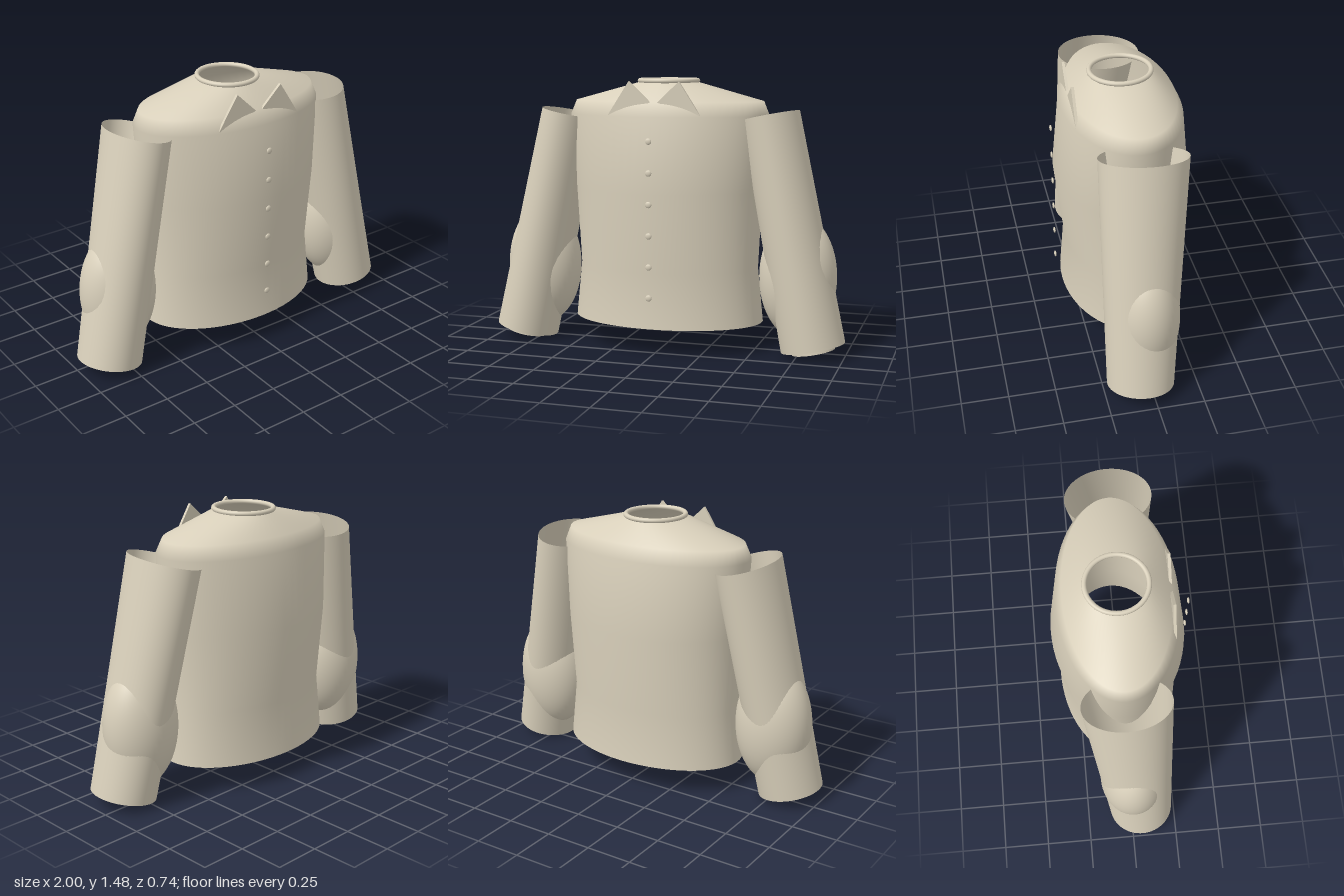
import * as THREE from 'three';

const cloth = new THREE.MeshStandardMaterial({ color: 0xd8cfba, side: THREE.DoubleSide });
cloth.name = 'cream cloth';

function part(name, geometry, parent) {
  const mesh = new THREE.Mesh(geometry, cloth);
  mesh.name = name;
  parent.add(mesh);
  return mesh;
}

// Open skin through elliptical sections [y, halfX, halfZ, centreZ], listed bottom to top
function loft(sections, sides = 64) {
  const pos = [], index = [];
  sections.forEach(([y, hx, hz, cz]) => {
    for (let i = 0; i < sides; i++) {
      const a = (i / sides) * Math.PI * 2;
      pos.push(Math.sin(a) * hx, y, Math.cos(a) * hz + cz);
    }
  });
  for (let j = 0; j < sections.length - 1; j++) {
    for (let i = 0; i < sides; i++) {
      const k = (i + 1) % sides;
      const a = j * sides + i, b = j * sides + k, c = a + sides, d = b + sides;
      index.push(a, b, d, a, d, c);
    }
  }
  const g = new THREE.BufferGeometry();
  g.setAttribute('position', new THREE.Float32BufferAttribute(pos, 3));
  g.setIndex(index);
  g.computeVertexNormals();
  return g;
}

export function createModel() {
  const jacket = new THREE.Group();
  jacket.name = 'jacket';

  // Body, open at hem and neck
  part('body', loft([
    [0.15, 0.535, 0.34, -0.01],
    [0.45, 0.505, 0.315, -0.01],
    [0.88, 0.525, 0.362, -0.008],
    [1.285, 0.56, 0.318, -0.008],
    [1.36, 0.53, 0.28, -0.01],
    [1.46, 0.16, 0.165, -0.01],
  ]), jacket);

  // Neckband
  const neck = part('neckband', new THREE.TorusGeometry(0.158, 0.013, 12, 64), jacket);
  neck.rotation.x = Math.PI / 2;
  neck.scale.y = 1.03;
  neck.position.set(0, 1.468, -0.01);

  // Front buttons
  for (let i = 0; i < 6; i++) {
    const button = part('button', new THREE.SphereGeometry(0.017, 16, 12), jacket);
    button.scale.z = 0.4;
    button.position.set(0, 0.328 + i * 0.1665, 0.365);
  }

  for (const s of [1, -1]) {
    const side = s > 0 ? 'left' : 'right';

    // Collar point
    const tri = new THREE.Shape([
      new THREE.Vector2(s * 0.138, 1.47),
      new THREE.Vector2(s * 0.255, 1.29),
      new THREE.Vector2(s * 0.02, 1.358),
    ]);
    const collar = part(side + 'Collar', new THREE.ExtrudeGeometry(tri, { depth: 0.015, bevelEnabled: false }), jacket);
    collar.position.z = 0.258;

    // Sleeve leans outward and slightly forward, from shoulder to cuff
    const top = new THREE.Vector3(s * 0.57, 1.285, -0.008);
    const end = new THREE.Vector3(s * 0.83, 0.048, 0.057);
    const length = top.distanceTo(end);
    const arm = new THREE.Group();
    arm.name = side + 'Arm';
    arm.position.copy(top);
    arm.quaternion.setFromUnitVectors(new THREE.Vector3(0, -1, 0), end.clone().sub(top).normalize());
    jacket.add(arm);
    part(side + 'Sleeve', loft([[-length, 0.175, 0.178, 0], [0, 0.155, 0.232, 0]]), arm);

    // Inner cuff, closed at its lower end
    const cuff = part(side + 'Cuff', new THREE.CylinderGeometry(0.118, 0.118, 0.25, 48), arm);
    cuff.position.set(0, -length - 0.023 + 0.125, 0.006);

    // Full elbow swelling through the sleeve
    const elbow = part(side + 'Elbow', new THREE.SphereGeometry(1, 48, 32), jacket);
    elbow.scale.set(0.21, 0.34, 0.18);
    elbow.position.set(s * 0.735, 0.42, 0.015);
  }

  return jacket;
}
